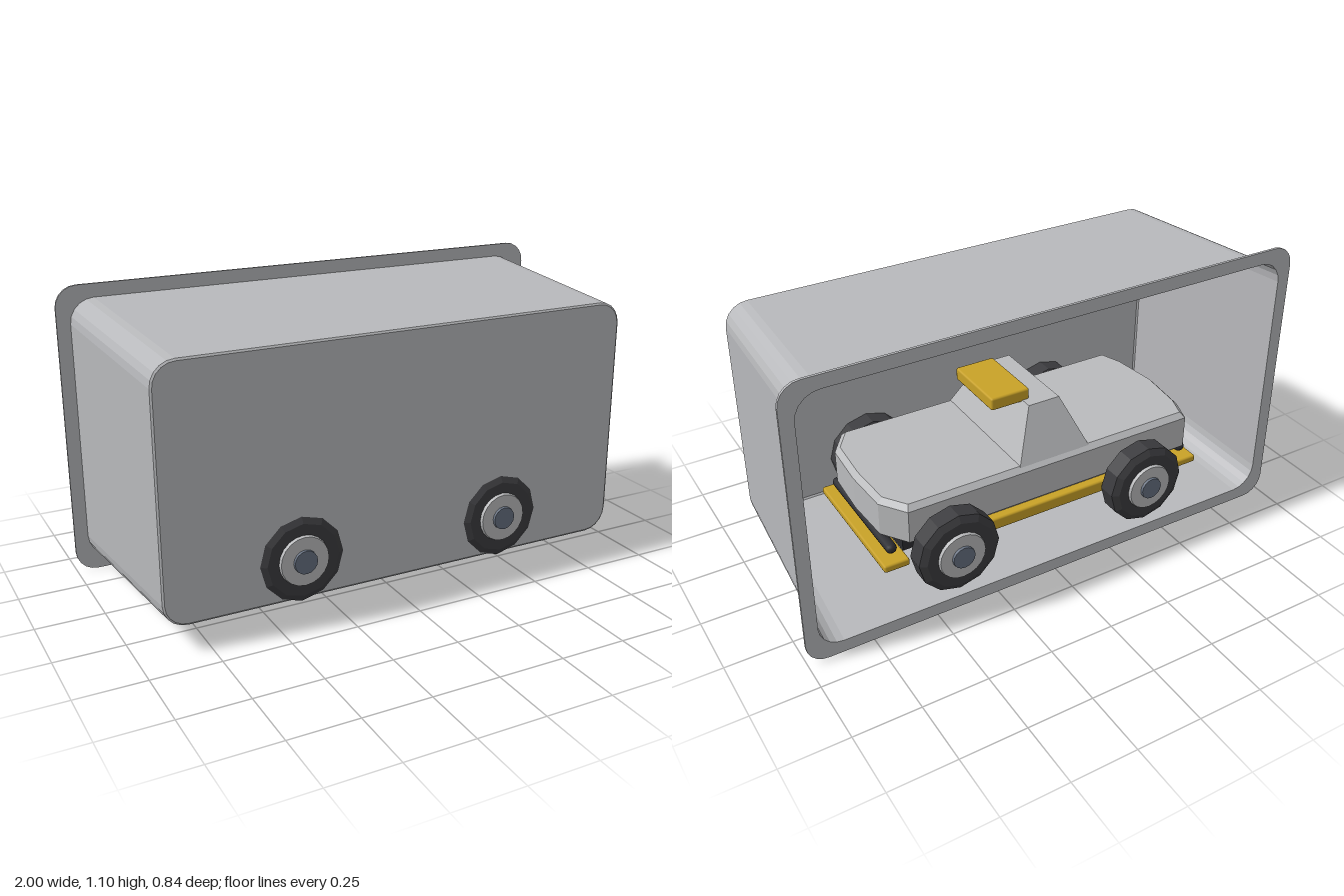
import * as THREE from 'three';
import { RoundedBoxGeometry } from 'three/addons/geometries/RoundedBoxGeometry.js';

const mat = (name, color) => Object.assign(new THREE.MeshStandardMaterial({ color }), { name });

// Faceted normals for the low-poly look
function faceted(geo) {
  const g = geo.index ? geo.toNonIndexed() : geo;
  g.computeVertexNormals();
  return g;
}

// Counter-clockwise outline of a rounded rectangle
function roundedRect(halfW, halfH, r, steps = 5) {
  const pts = [];
  [[1, 1], [-1, 1], [-1, -1], [1, -1]].forEach(([sx, sy], q) => {
    for (let i = 0; i <= steps; i++) {
      const a = (q + i / steps) * Math.PI / 2;
      pts.push(new THREE.Vector2(sx * (halfW - r) + r * Math.cos(a), sy * (halfH - r) + r * Math.sin(a)));
    }
  });
  return pts;
}

// Skin through matching outlines placed at different z
function loft(levels) {
  const n = levels[0].pts.length, pos = [], idx = [];
  levels.forEach(({ z, pts }) => pts.forEach(p => pos.push(p.x, p.y, z)));
  for (let l = 0; l < levels.length - 1; l++) {
    for (let i = 0; i < n; i++) {
      const a = l * n + i, b = l * n + (i + 1) % n;
      idx.push(a, b, b + n, a, b + n, a + n);
    }
  }
  const g = new THREE.BufferGeometry();
  g.setAttribute('position', new THREE.Float32BufferAttribute(pos, 3));
  g.setIndex(idx);
  return faceted(g);
}

export function createModel() {
  const shell = mat('light grey shell', 0xb8b9bc);
  shell.side = THREE.DoubleSide;
  const grey = mat('light grey bodywork', 0xbabbbd);
  const tyreBlack = mat('tyre black', 0x3b3b3e);
  const slate = mat('slate cap', 0x667080);
  const yellow = mat('mustard yellow', 0xc9a227);
  const dark = mat('dark trim', 0x2c2d32);

  const model = new THREE.Group();
  const add = (name, geo, material, x = 0, y = 0, z = 0, parent = model) => {
    const m = new THREE.Mesh(geo, material);
    m.name = name;
    m.position.set(x, y, z);
    parent.add(m);
    return m;
  };

  // Tapered tub, open at the back
  const tub = new THREE.Group();
  tub.name = 'tub';
  tub.position.y = 0.552;
  model.add(tub);
  const mouth = roundedRect(0.95, 0.502, 0.09);
  const face = roundedRect(0.9, 0.45, 0.08);
  add('tubWalls', loft([
    { z: -0.38, pts: mouth },
    { z: 0.38, pts: roundedRect(0.907, 0.457, 0.087) },
    { z: 0.385, pts: face },
  ]), shell, 0, 0, 0, tub);
  add('tubFrontPanel', new THREE.ShapeGeometry(new THREE.Shape(face)), shell, 0, 0, 0.385, tub);

  // Flat flange around the mouth
  const rim = new THREE.Shape(roundedRect(1, 0.552, 0.08));
  rim.holes.push(new THREE.Path(mouth));
  add('flange', new THREE.ExtrudeGeometry(rim, { depth: 0.01, bevelEnabled: false }), shell, 0, 0, -0.385, tub);

  // Toy car body with chamfered corners and bowed ends
  const half = [[0.6, 0.18], [0.54, 0.265], [-0.64, 0.265], [-0.67, 0.18]];
  const outline = [[0.61, 0], ...half, [-0.69, 0], ...half.map(([x, z]) => [x, -z]).reverse()];
  const body = new THREE.ExtrudeGeometry(
    new THREE.Shape(outline.map(([x, z]) => new THREE.Vector2(x, z))),
    { depth: 0.13, bevelSize: 0.02, bevelThickness: 0.02, bevelSegments: 1 });
  body.rotateX(-Math.PI / 2);
  add('carBody', body, grey, 0, 0.28, 0);

  // Cab narrowing towards the roof
  const cab = new THREE.BoxGeometry(1, 0.19, 1);
  const p = cab.attributes.position;
  for (let i = 0; i < p.count; i++) {
    const top = p.getY(i) > 0;
    p.setX(i, top ? p.getX(i) * 0.13 - 0.065 : p.getX(i) * 0.3 - 0.06);
    p.setZ(i, p.getZ(i) * (top ? 0.36 : 0.54));
  }
  add('cab', faceted(cab), grey, 0, 0.52, 0);
  add('roofBox', new RoundedBoxGeometry(0.16, 0.05, 0.27, 1, 0.008), yellow, 0.05, 0.632, 0);

  // Underbody, side skirts and bumpers
  add('underbody', new THREE.BoxGeometry(1.16, 0.09, 0.4), dark, -0.04, 0.225, 0);
  for (const s of [1, -1]) {
    add('sideSkirt', new RoundedBoxGeometry(0.62, 0.05, 0.07, 1, 0.008), yellow, 0, 0.235, s * 0.265);
    const endX = s > 0 ? 0.6 : -0.68;
    add('bumper', new RoundedBoxGeometry(0.1, 0.03, 0.56, 1, 0.008), yellow, endX, 0.19, 0);
    const bar = add('bumperBar', new THREE.CapsuleGeometry(0.022, 0.46, 3, 8), dark, endX, 0.24, 0);
    bar.rotation.x = Math.PI / 2;
  }

  // Wheels: bevelled tyre, hub disc and cap
  const tyreGeo = faceted(new THREE.LatheGeometry(
    [[0, -0.05], [0.135, -0.05], [0.16, -0.035], [0.16, 0.033], [0.135, 0.048], [0, 0.048]]
      .map(([r, y]) => new THREE.Vector2(r, y)), 12));
  const hubGeo = new THREE.CylinderGeometry(0.09, 0.095, 0.02, 20);
  const capGeo = new THREE.CylinderGeometry(0.043, 0.045, 0.02, 16);
  for (const x of [-0.405, 0.405]) {
    for (const s of [1, -1]) {
      const wheel = new THREE.Group();
      wheel.name = 'wheel';
      wheel.position.set(x, 0.245, s * 0.35);
      wheel.rotation.x = s * Math.PI / 2;
      add('tyre', tyreGeo, tyreBlack, 0, 0, 0, wheel);
      add('hub', hubGeo, grey, 0, 0.05, 0, wheel);
      add('hubCap', capGeo, slate, 0, 0.06, 0, wheel);
      model.add(wheel);
    }
  }
  return model;
}
